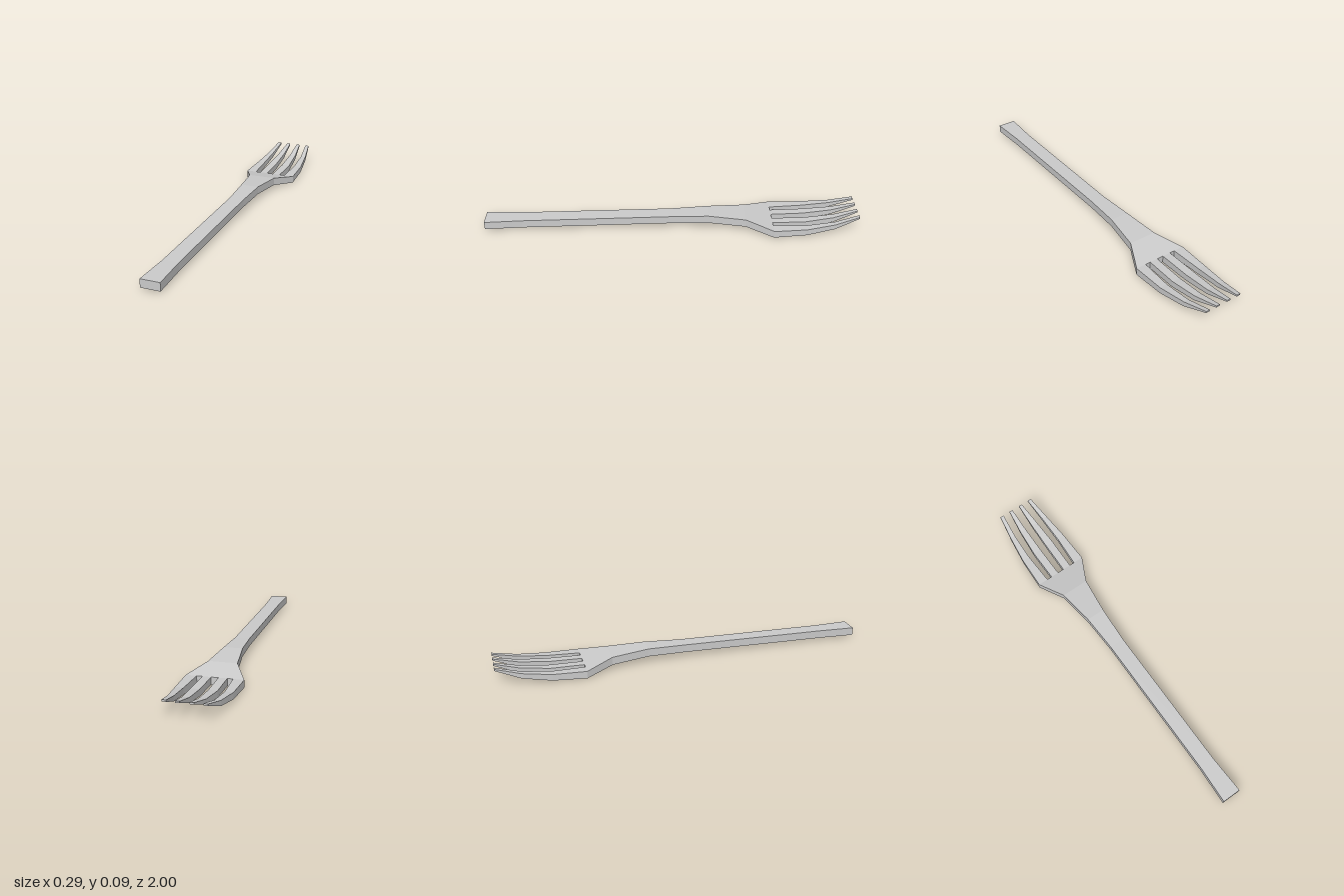
import * as THREE from 'three';

const material = new THREE.MeshStandardMaterial({ color: 0xcccccc, flatShading: true });

// Lofts rectangular sections [z, x0, x1, y0, y1], listed from +z to -z.
function loft(name, sections) {
  const rings = sections.map(([z, x0, x1, y0, y1]) =>
    [[x0, y0, z], [x1, y0, z], [x1, y1, z], [x0, y1, z]]);
  const pos = [];
  const quad = (a, b, c, d) => pos.push(...a, ...b, ...c, ...a, ...c, ...d);
  for (let s = 0; s < rings.length - 1; s++) {
    const p = rings[s], q = rings[s + 1];
    for (let i = 0; i < 4; i++) {
      const j = (i + 1) % 4;
      quad(p[i], q[i], q[j], p[j]);
    }
  }
  quad(...rings[0]);
  quad(...[...rings[rings.length - 1]].reverse());
  const geometry = new THREE.BufferGeometry();
  geometry.setAttribute('position', new THREE.Float32BufferAttribute(pos, 3));
  geometry.computeVertexNormals();
  const mesh = new THREE.Mesh(geometry, material);
  mesh.name = name;
  return mesh;
}

export function createModel() {
  const group = new THREE.Group();
  group.name = 'fork';

  // Handle flowing into the flared head: [z, half width, bottom, top]
  const body = [
    [1, 0.05, 0.012, 0.055],
    [0.8, 0.041, 0.014, 0.057],
    [0, 0.04, 0.029, 0.071],
    [-0.2, 0.05, 0.035, 0.078],
    [-0.4, 0.075, 0.024, 0.067],
    [-0.545, 0.145, 0, 0.039],
  ];
  group.add(loft('handleAndHead', body.map(([z, w, y0, y1]) => [z, -w, w, y0, y1])));

  // Curve shared by all tines: [z, bottom, top]
  const curve = [
    [-0.545, 0, 0.039],
    [-0.72, 0.009, 0.043],
    [-0.87, 0.034, 0.061],
    [-1, 0.085, 0.094],
  ];
  // Inner and outer edge of each tine along the curve
  const tines = {
    innerTine: [[0.018, 0.062], [0.02, 0.064], [0.021, 0.055], [0.022, 0.042]],
    outerTine: [[0.09, 0.145], [0.098, 0.139], [0.094, 0.122], [0.082, 0.103]],
  };
  for (const [name, edges] of Object.entries(tines)) {
    for (const side of [1, -1]) {
      const sections = curve.map(([z, y0, y1], i) => {
        const [a, b] = edges[i];
        return side > 0 ? [z, a, b, y0, y1] : [z, -b, -a, y0, y1];
      });
      group.add(loft(name + (side > 0 ? 'Left' : 'Right'), sections));
    }
  }
  return group;
}
